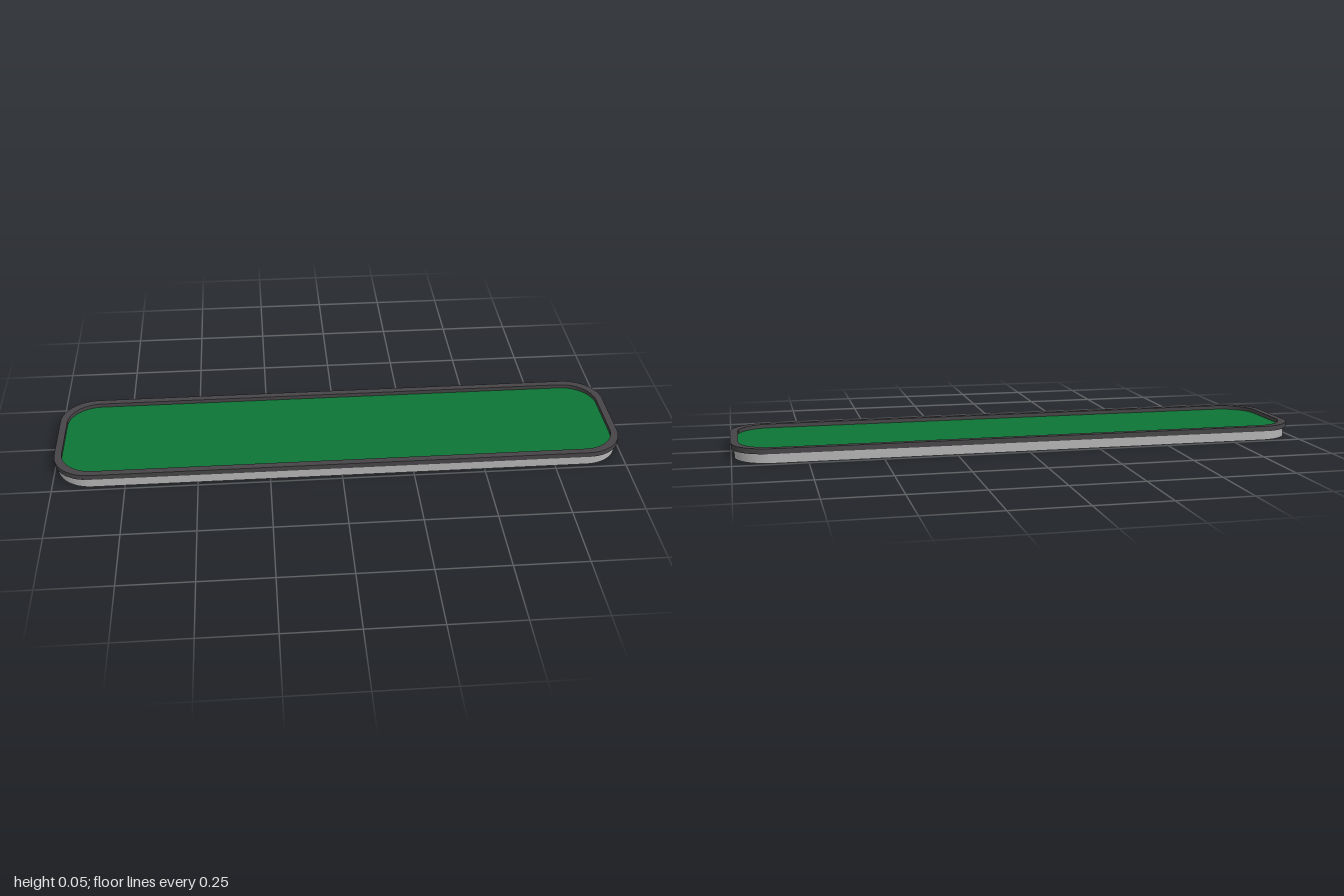
import * as THREE from 'three';
import { toCreasedNormals } from 'three/addons/utils/BufferGeometryUtils.js';

// Rounded rectangle outline given by half sizes and corner radius
function outline(target, w, d, r) {
  target.moveTo(-w + r, -d);
  target.lineTo(w - r, -d);
  target.absarc(w - r, -d + r, r, -Math.PI / 2, 0, false);
  target.lineTo(w, d - r);
  target.absarc(w - r, d - r, r, 0, Math.PI / 2, false);
  target.lineTo(-w + r, d);
  target.absarc(-w + r, d - r, r, Math.PI / 2, Math.PI, false);
  target.lineTo(-w, -d + r);
  target.absarc(-w + r, -d + r, r, Math.PI, Math.PI * 1.5, false);
  return target;
}

// Upright slab from y0 to y1, optionally hollowed by an inner outline
function slab(name, material, y0, y1, outer, inner) {
  const shape = outline(new THREE.Shape(), ...outer);
  if (inner) shape.holes.push(outline(new THREE.Path(), ...inner));
  let geo = new THREE.ExtrudeGeometry(shape, { depth: y1 - y0, bevelEnabled: false, curveSegments: 12 });
  geo.rotateX(-Math.PI / 2);
  geo.translate(0, y0, 0);
  geo = toCreasedNormals(geo, 0.6);
  const mesh = new THREE.Mesh(geo, material);
  mesh.name = name;
  return mesh;
}

export function createModel() {
  const rimDark = new THREE.MeshStandardMaterial({ color: 0x464446 });
  rimDark.name = 'dark grey rim';
  const skirtGrey = new THREE.MeshStandardMaterial({ color: 0xb4b4b4 });
  skirtGrey.name = 'light grey skirt';
  const feltGreen = new THREE.MeshStandardMaterial({ color: 0x0e7536 });
  feltGreen.name = 'green panel';

  const model = new THREE.Group();
  model.name = 'tray';
  model.add(
    // raised border around the top
    slab('rim', rimDark, 0.032, 0.05, [1, 0.235, 0.13], [0.975, 0.21, 0.115]),
    // thin wall below the rim, open underneath
    slab('skirt', skirtGrey, 0, 0.032, [0.99, 0.2325, 0.128], [0.986, 0.2285, 0.124]),
    // recessed flat surface
    slab('panel', feltGreen, 0.031, 0.036, [0.986, 0.2285, 0.124])
  );
  return model;
}
